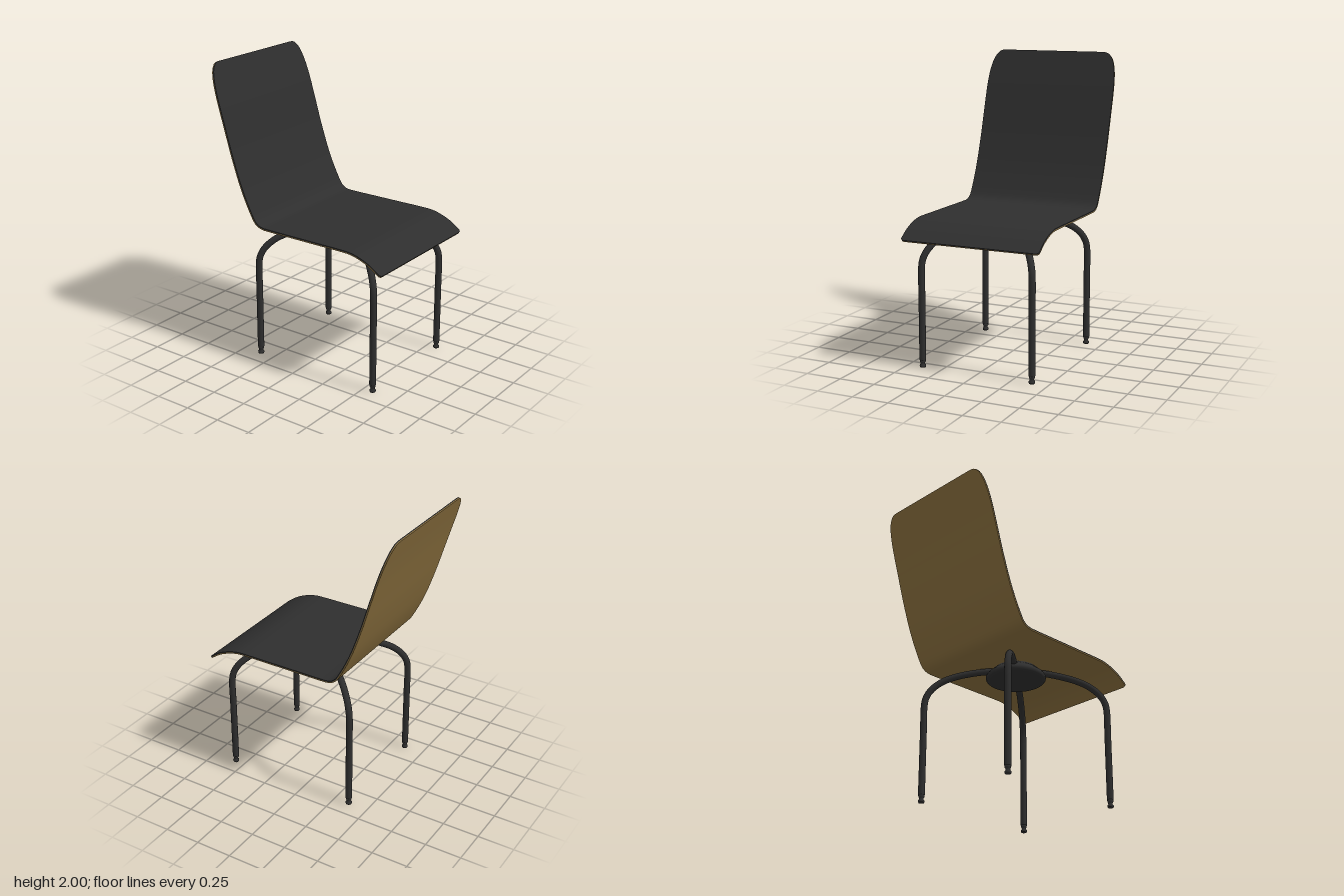
import * as THREE from 'three';

const black = new THREE.MeshStandardMaterial({ color: 0x2e2e2e });
const wood = new THREE.MeshStandardMaterial({ color: 0x866c3c });
const HUB_X = 0.105;

// Side profile of the bent shell, from the top of the back to the front lip
const profile = new THREE.CatmullRomCurve3([
  [-0.677, 2], [-0.6, 1.77], [-0.548, 1.6], [-0.487, 1.4], [-0.415, 1.2], [-0.348, 1.06],
  [-0.31, 0.997], [-0.285, 0.977], [-0.25, 0.966], [-0.2, 0.964], [0, 0.964], [0.2, 0.964],
  [0.38, 0.964], [0.44, 0.962], [0.5, 0.95], [0.59, 0.915], [0.677, 0.857],
].map(([x, y]) => new THREE.Vector3(x, y, 0)));

// Half width of the shell: long soft corners on the back, small ones at the lip
function halfWidth(p, distToLip) {
  const t = THREE.MathUtils.clamp((2 - p.y) / 0.35, 0, 1);
  const top = 0.36 + 0.12 * Math.cbrt(1 - (1 - t) ** 3);
  const r = 0.022, d = Math.max(0, r - distToLip);
  return top - r + Math.sqrt(r * r - d * d);
}

// One ply of the shell, between two offsets from the profile
function plyGeometry(low, high) {
  const length = profile.getLength(), n = 90;
  const stations = [0, 0.0004, 0.0012, 0.003, 0.006];
  for (let i = 1; i <= n; i++) stations.push(0.006 + (i / n) * 0.98);
  stations.push(0.989, 0.992, 0.995, 0.9975, 0.999, 1);
  const rings = stations.map((u) => {
    const p = profile.getPointAt(u), tan = profile.getTangentAt(u);
    const w = halfWidth(p, (1 - u) * length);
    const at = (o, z) => [p.x - tan.y * o, p.y + tan.x * o, z];
    return [at(high, w), at(high, -w), at(low, -w), at(low, w)];
  });
  const pos = [], index = [];
  // Four separate strips keep the long edges sharp
  for (let s = 0; s < 4; s++) {
    const base = pos.length / 3;
    rings.forEach((ring, i) => {
      pos.push(...ring[s], ...ring[(s + 1) % 4]);
      if (i === 0) return;
      const a = base + 2 * (i - 1);
      index.push(a, a + 2, a + 1, a + 1, a + 2, a + 3);
    });
  }
  // End caps
  [rings[0], rings[rings.length - 1]].forEach((ring, end) => {
    const b = pos.length / 3;
    ring.forEach((v) => pos.push(...v));
    index.push(...(end ? [0, 3, 2, 0, 2, 1] : [0, 1, 2, 0, 2, 3]).map((k) => b + k));
  });
  const geo = new THREE.BufferGeometry();
  geo.setAttribute('position', new THREE.Float32BufferAttribute(pos, 3));
  geo.setIndex(index);
  geo.computeVertexNormals();
  return geo;
}

function lathe(points, segments) {
  return new THREE.LatheGeometry(points.map(([r, y]) => new THREE.Vector2(r, y)), segments);
}

export function createModel() {
  const model = new THREE.Group();
  const add = (name, geo, mat, parent = model) => {
    const mesh = new THREE.Mesh(geo, mat);
    mesh.name = name;
    parent.add(mesh);
    return mesh;
  };

  // Seat and back: dark upper ply over a wooden lower ply
  add('shellFront', plyGeometry(0, 0.007), black);
  add('shellBacking', plyGeometry(-0.007, 0), wood);

  // Round hub under the seat
  add('hub', lathe([[0, 0.866], [0.17, 0.866], [0.192, 0.869], [0.2, 0.878], [0.2, 0.892],
    [0.192, 0.905], [0.14, 0.952], [0, 0.955]], 48), black).position.x = HUB_X;

  // Four bent tube legs with feet; each runs outward from the hub, then down
  const bend = [[0.1, 0.933], [0.3, 0.928], [0.5, 0.908], [0.68, 0.878], [0.82, 0.838],
    [0.93, 0.78], [0.985, 0.72], [1, 0.66], [1, 0.5], [1, 0.3], [1, 0.05]];
  const foot = lathe([[0, 0], [0.018, 0], [0.021, 0.005], [0.021, 0.014], [0.014, 0.022],
    [0.015, 0.032], [0.019, 0.038], [0.021, 0.052], [0, 0.052]], 20);
  for (const [sx, endName] of [[1, 'front'], [-1, 'back']]) {
    for (const [sz, side] of [[1, 'Right'], [-1, 'Left']]) {
      const leg = new THREE.Group();
      leg.name = `${endName}${side}Leg`;
      leg.position.x = HUB_X;
      const dx = sx * 0.465, dz = sz * 0.39;
      const path = new THREE.CatmullRomCurve3(
        bend.map(([t, y]) => new THREE.Vector3(dx * t, y, dz * t)));
      add('legTube', new THREE.TubeGeometry(path, 70, 0.022, 16), black, leg);
      add('foot', foot, black, leg).position.set(dx, 0, dz);
      model.add(leg);
    }
  }
  return model;
}
